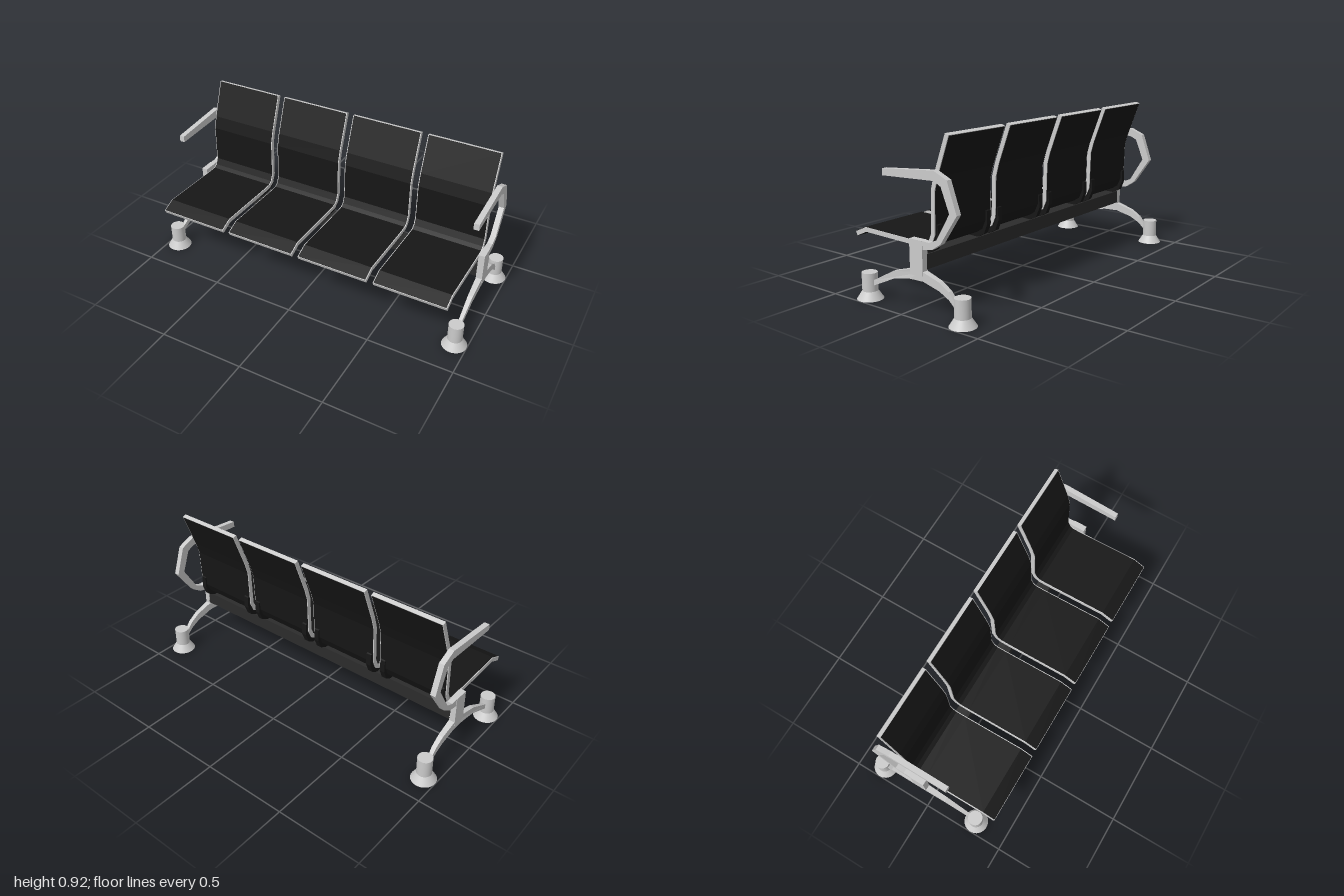
import * as THREE from 'three';

const grey = new THREE.MeshStandardMaterial({ color: 0xcccccc });
const black = new THREE.MeshStandardMaterial({ color: 0x161616 });
const dark = new THREE.MeshStandardMaterial({ color: 0x2c2c2c });

const SEAT_WIDTH = 0.422;

// Side profile given as [z, y] points, extruded along x and centred on x = 0
function sideExtrude(points, width) {
  const shape = new THREE.Shape(points.map(([z, y]) => new THREE.Vector2(z, y)));
  const geo = new THREE.ExtrudeGeometry(shape, { depth: width, bevelEnabled: false });
  geo.translate(0, 0, -width / 2);
  geo.rotateY(-Math.PI / 2);
  return geo;
}

function addMesh(parent, name, geo, mat, x = 0, y = 0, z = 0) {
  const mesh = new THREE.Mesh(geo, mat);
  mesh.name = name;
  mesh.position.set(x, y, z);
  parent.add(mesh);
  return mesh;
}

// Closed outline between two mitred offsets of a path
function ribbon(path, near, far) {
  const pts = path.map(([z, y]) => new THREE.Vector2(z, y));
  const normal = (a, b) => {
    const d = b.clone().sub(a).normalize();
    return new THREE.Vector2(d.y, -d.x);
  };
  const miters = pts.map((p, i) => {
    const n1 = normal(pts[Math.max(i - 1, 0)], pts[Math.max(i, 1)]);
    const last = pts.length - 1;
    const n2 = normal(pts[Math.min(i, last - 1)], pts[Math.min(i + 1, last)]);
    const m = n1.clone().add(n2).normalize();
    return m.divideScalar(m.dot(n1));
  });
  const side = (d) => pts.map((p, i) => [p.x + miters[i].x * d, p.y + miters[i].y * d]);
  return [...side(near), ...side(far).reverse()];
}

// Pull both ends of a path inwards
function trimEnds(path, amount) {
  const cut = ([z, y], [z2, y2]) => {
    const k = amount / Math.hypot(z2 - z, y2 - y);
    return [z + (z2 - z) * k, y + (y2 - y) * k];
  };
  const n = path.length;
  return [cut(path[0], path[1]), ...path.slice(1, -1), cut(path[n - 1], path[n - 2])];
}

// One bent seat: metal rim, dark panels on both faces, two brackets
function makeSeat() {
  const seat = new THREE.Group();
  seat.name = 'seat';
  const path = [
    [0.416, 0.329], [0.344, 0.361], [-0.03, 0.351], [-0.09, 0.352], [-0.12, 0.37],
    [-0.14, 0.415], [-0.146, 0.633], [-0.166, 0.705], [-0.244, 0.914],
  ];
  addMesh(seat, 'seatRim', sideExtrude(ribbon(path, -0.012, 0.012), SEAT_WIDTH), grey);
  const inner = trimEnds(path, 0.003);
  const panelWidth = SEAT_WIDTH - 0.01;
  addMesh(seat, 'seatPanels', sideExtrude(ribbon(inner, -0.014, 0.014), panelWidth), black);

  const bracket = sideExtrude([
    [-0.005, 0.34], [-0.005, 0.316], [-0.1, 0.312], [-0.142, 0.334], [-0.165, 0.39],
    [-0.163, 0.461], [-0.15, 0.467], [-0.148, 0.41], [-0.125, 0.36], [-0.09, 0.34],
  ], 0.03);
  for (const s of [-1, 1]) addMesh(seat, 'seatBracket', bracket, black, s * 0.185);
  return seat;
}

// Flat cylinder post with a flared base
function makeFoot(z) {
  const foot = new THREE.Group();
  foot.name = 'foot';
  addMesh(foot, 'footPost', new THREE.CylinderGeometry(0.042, 0.042, 0.1, 32), grey, 0, 0.095, 0);
  addMesh(foot, 'footBase', new THREE.CylinderGeometry(0.042, 0.071, 0.045, 32), grey, 0, 0.0225, 0);
  foot.position.z = z;
  return foot;
}

// End frame: hub block, arched legs, looped armrest and feet
function makeEndFrame() {
  const frame = new THREE.Group();
  frame.name = 'endFrame';
  addMesh(frame, 'hub', sideExtrude([
    [-0.018, 0.385], [-0.018, 0.2], [-0.105, 0.2], [-0.105, 0.385],
  ], 0.036), grey);

  const legs = sideExtrude([
    [-0.018, 0.227], [0.105, 0.192], [0.27, 0.104], [0.27, 0.076], [0.105, 0.15],
    [-0.01, 0.175], [-0.105, 0.178], [-0.21, 0.15], [-0.27, 0.118], [-0.32, 0.07],
    [-0.32, 0.098], [-0.27, 0.158], [-0.21, 0.195], [-0.105, 0.227],
  ], 0.034);
  // Legs get thinner towards the feet
  const pos = legs.attributes.position;
  for (let i = 0; i < pos.count; i++) {
    const reach = Math.max(0, Math.abs(pos.getZ(i) + 0.06) - 0.045);
    pos.setX(i, pos.getX(i) * (1 - Math.min(reach / 0.28, 1) * 0.45));
  }
  legs.computeVertexNormals();
  addMesh(frame, 'legs', legs, grey);

  addMesh(frame, 'armrest', sideExtrude([
    [-0.1, 0.385], [-0.15, 0.383], [-0.2, 0.404], [-0.286, 0.545], [-0.235, 0.67],
    [-0.19, 0.692], [0.162, 0.678], [0.16, 0.714], [-0.19, 0.742], [-0.275, 0.705],
    [-0.333, 0.543], [-0.226, 0.388], [-0.17, 0.351], [-0.1, 0.338],
  ], 0.031), grey);

  frame.add(makeFoot(0.301), makeFoot(-0.348));
  return frame;
}

export function createModel() {
  const model = new THREE.Group();
  model.name = 'benchSeating';

  // Cross beam
  addMesh(model, 'beam', new THREE.BoxGeometry(1.83, 0.078, 0.082), dark, 0, 0.272, -0.064);

  // Row of four seats
  for (let i = 0; i < 4; i++) {
    const seat = makeSeat();
    seat.position.x = (i - 1.5) * 0.463;
    model.add(seat);
  }

  // Mirrored end frames
  for (const s of [-1, 1]) {
    const frame = makeEndFrame();
    frame.position.x = s * 0.929;
    model.add(frame);
  }
  return model;
}
